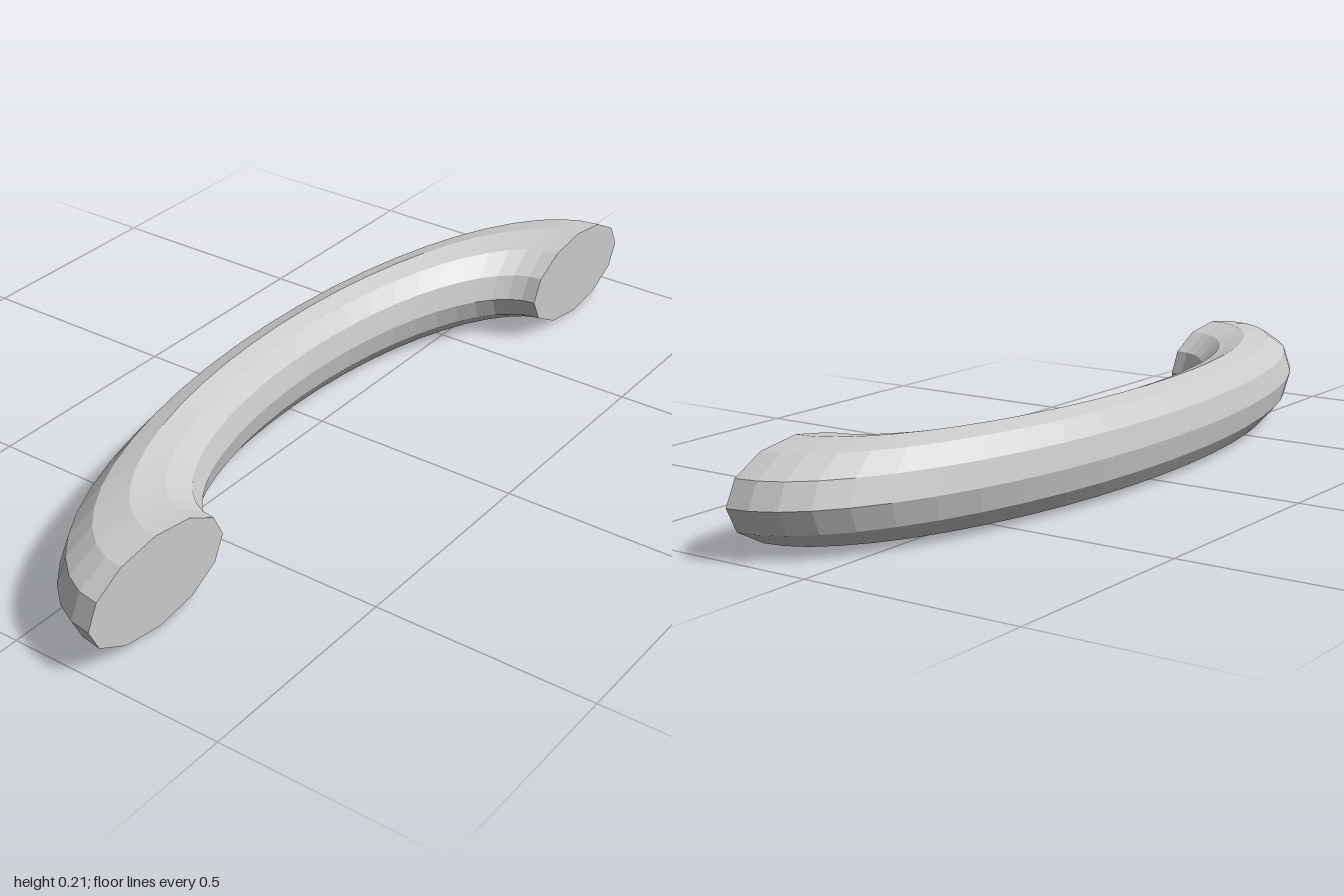
import * as THREE from 'three';

const RING = 0.8;      // centre-line radius in x
const TUBE = 0.2;      // tube radius in x
const HALF_H = 0.107;  // tube radius in y
const DEPTH = 0.39;    // overall depth in z
const SIDES = 12;

export function createModel() {
  const group = new THREE.Group();
  group.name = 'archedHandle';
  const material = new THREE.MeshStandardMaterial({ color: 0xcccccc, flatShading: true });

  // Half ring, flattened in height and depth, bowing towards the back
  const arch = new THREE.TorusGeometry(RING, TUBE, SIDES, 24, Math.PI);
  arch.rotateX(-Math.PI / 2);
  arch.scale(1, HALF_H / TUBE, DEPTH);
  arch.translate(0, HALF_H, DEPTH / 2);
  const grip = new THREE.Mesh(arch, material);
  grip.name = 'grip';
  group.add(grip);

  // Flat mounting faces closing both ends
  for (const side of [-1, 1]) {
    const face = new THREE.CircleGeometry(TUBE, SIDES);
    face.scale(1, HALF_H / TUBE, 1);
    const cap = new THREE.Mesh(face, material);
    cap.name = side > 0 ? 'leftEndFace' : 'rightEndFace';
    cap.position.set(side * RING, HALF_H, DEPTH / 2);
    group.add(cap);
  }

  return group;
}
